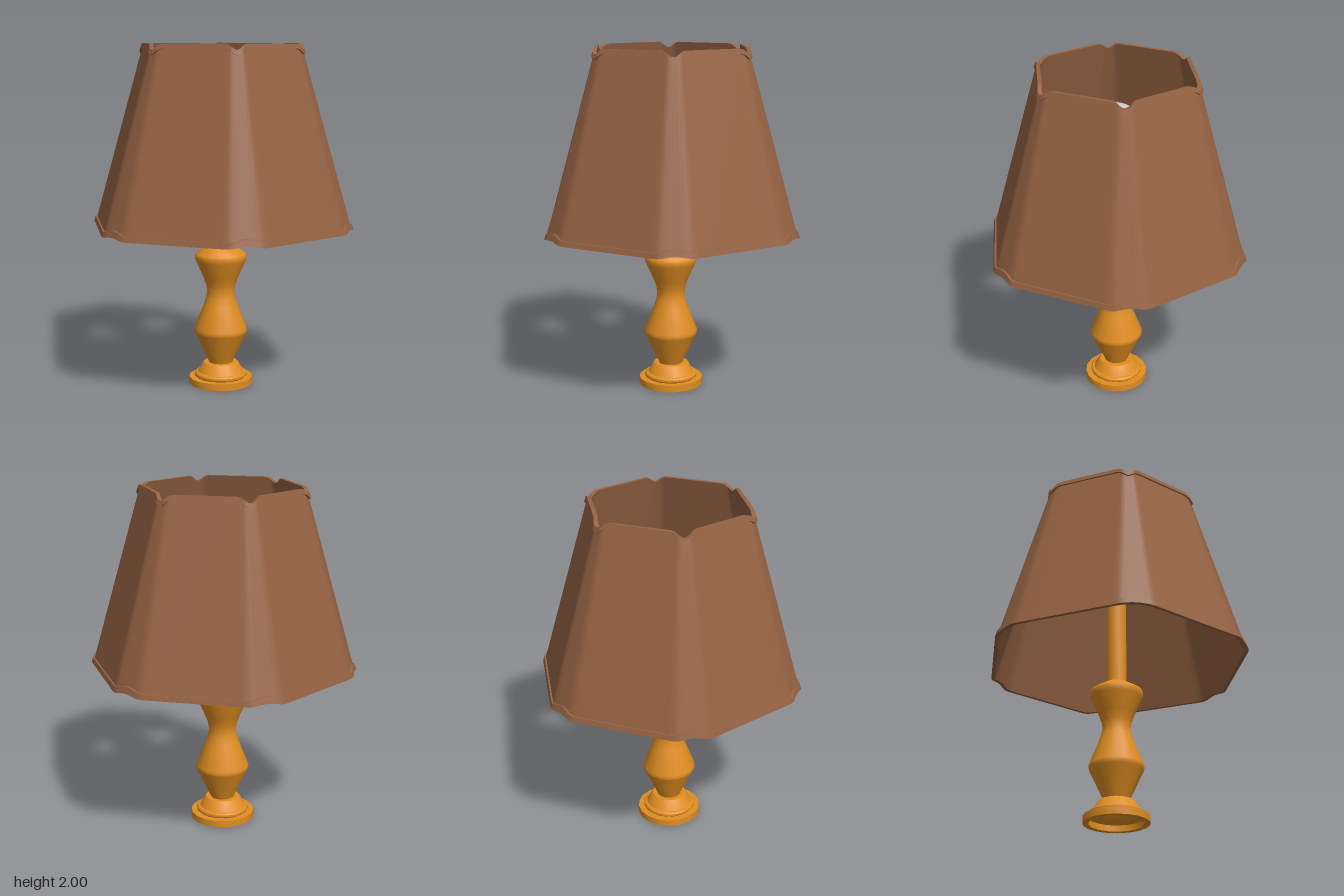
import * as THREE from 'three';
import { toCreasedNormals } from 'three/addons/utils/BufferGeometryUtils.js';

const wood = new THREE.MeshStandardMaterial({ color: 0xe08e22 });
const fabric = new THREE.MeshStandardMaterial({ color: 0x966343 });
const glass = new THREE.MeshStandardMaterial({ color: 0xcccccc });

function turned(name, profile, sides, material, crease) {
  const pts = profile.map(([r, y]) => new THREE.Vector2(r, y));
  const mesh = new THREE.Mesh(toCreasedNormals(new THREE.LatheGeometry(pts, sides), crease), material);
  mesh.name = name;
  return mesh;
}

// Hexagonal shade: a closed wall section swept round six clipped corners
function shadeGeometry() {
  const bottom = 0.95, top = 2, lerp = THREE.MathUtils.lerp;
  // [height, offset from wall, scallop at the corner]
  const section = [
    [bottom, -0.01, 0.012], [bottom, 0.01, 0.012], [0.978, 0.01, 0.022], [0.978, 0, 0.022],
    [1.972, 0, -0.033], [1.972, 0.01, -0.033], [top, 0.01, -0.033], [top, -0.012, -0.033],
  ];
  // steps across one corner, as multiples of half the clipped width
  const steps = [-2, -1.5, -1.15, -0.85, -0.4, 0, 0.4, 0.85, 1.15, 1.5, 2];
  const n = steps.length * 6, positions = [], index = [];
  for (const [y0, offset, scallop] of section) {
    const k = (y0 - bottom) / (top - bottom);
    const clip = lerp(0.088, 0.03, k);
    const reach = lerp(1.3, 2, k);
    for (let corner = 0; corner < 6; corner++) {
      for (const f of steps) {
        const wave = Math.abs(f) < reach ? (1 + Math.cos(Math.PI * f / reach)) / 2 : 0;
        const y = y0 + scallop * wave;
        const apothem = lerp(0.705, 0.42, (y - bottom) / (top - bottom)) + offset;
        const t = f * clip;
        const r = apothem / Math.cos(Math.PI / 6) - Math.max(Math.abs(t), clip) * Math.tan(Math.PI / 6);
        const a = corner * Math.PI / 3;
        positions.push(r * Math.cos(a) - t * Math.sin(a), y, -r * Math.sin(a) - t * Math.cos(a));
      }
    }
  }
  for (let i = 0; i < section.length; i++) {
    const p = i * n, q = ((i + 1) % section.length) * n;
    for (let j = 0; j < n; j++) {
      const m = (j + 1) % n;
      index.push(p + j, p + m, q + m, p + j, q + m, q + j);
    }
  }
  const geometry = new THREE.BufferGeometry();
  geometry.setAttribute('position', new THREE.Float32BufferAttribute(positions, 3));
  geometry.setIndex(index);
  return toCreasedNormals(geometry, 0.75);
}

export function createModel() {
  const lamp = new THREE.Group();
  lamp.name = 'tableLamp';

  // Stepped foot, hollow underneath
  lamp.add(turned('foot', [
    [0, 0.1], [0.08, 0.1], [0.1, 0.06], [0.13, 0.04], [0.155, 0.035], [0.155, 0],
    [0.188, 0], [0.188, 0.04], [0.148, 0.04], [0.155, 0.047], [0.155, 0.06], [0.148, 0.068],
    [0.135, 0.07], [0.13, 0.078], [0.105, 0.122], [0.1, 0.127], [0.06, 0.127],
  ], 18, wood, 0.6));

  // Turned baluster
  lamp.add(turned('stem', [
    [0.07, 0.125], [0.075, 0.14], [0.153, 0.305], [0.158, 0.318], [0.155, 0.335],
    [0.1, 0.475], [0.086, 0.52], [0.08, 0.555], [0.086, 0.595], [0.102, 0.64],
    [0.147, 0.74], [0.154, 0.765], [0.148, 0.783], [0.068, 0.832], [0.058, 0.836],
  ], 18, wood, 0.8));

  // Pole carrying the bulb
  lamp.add(turned('pole', [[0.058, 0.83], [0.058, 1.4], [0, 1.4]], 18, wood, 0.6));

  // Pear-shaped bulb
  lamp.add(turned('bulb', [
    [0, 1.38], [0.055, 1.38], [0.06, 1.44], [0.1, 1.51], [0.15, 1.57], [0.167, 1.64],
    [0.148, 1.715], [0.095, 1.775], [0.045, 1.8], [0, 1.806],
  ], 10, glass, 0.9));

  const shade = new THREE.Mesh(shadeGeometry(), fabric);
  shade.name = 'shade';
  lamp.add(shade);
  return lamp;
}
